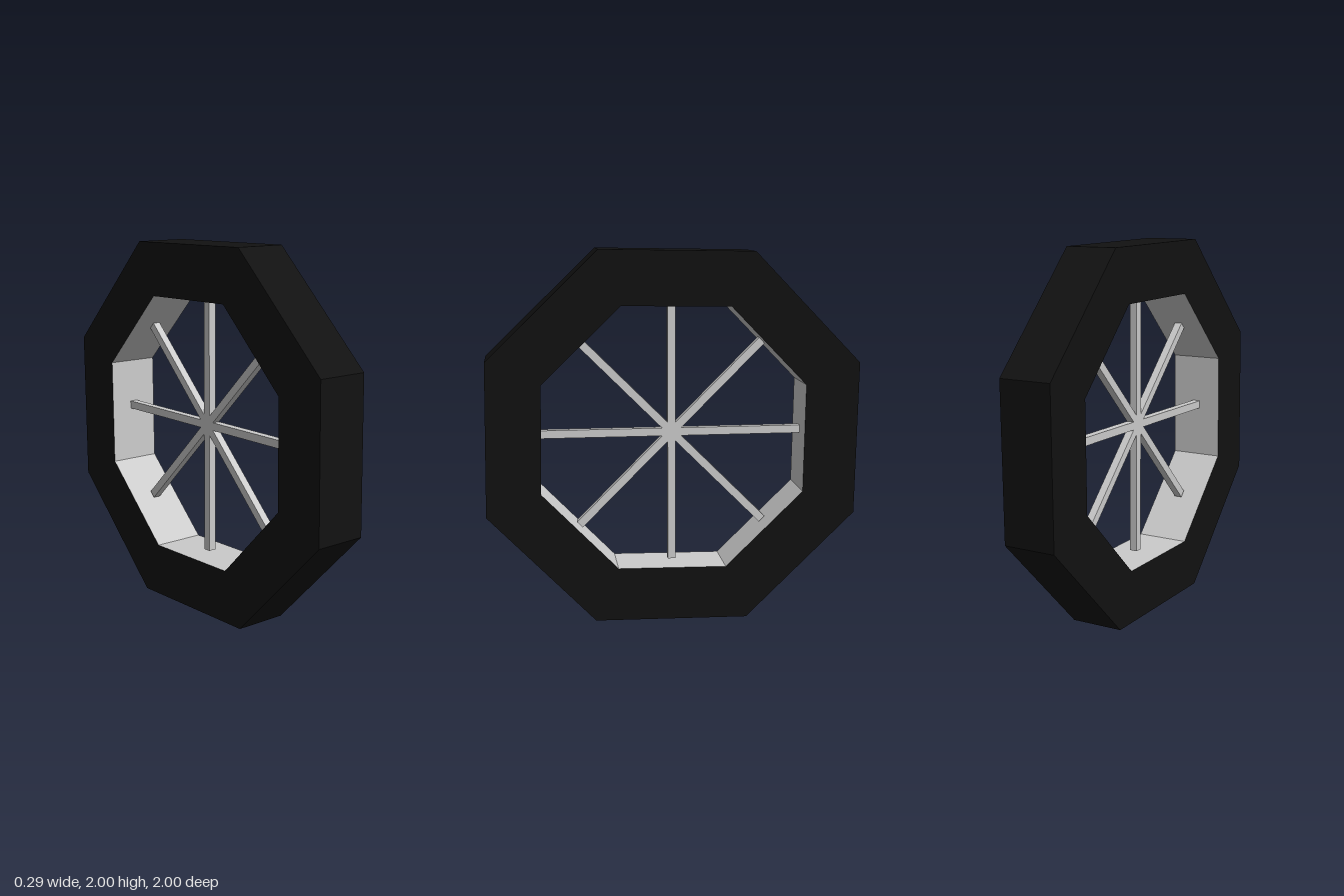
import * as THREE from 'three';

const SIDES = 8;
const OUTER = 1.0755, INNER = 0.763, HALF_WIDTH = 0.145;
const TILT = THREE.MathUtils.degToRad(-23.4);

// Eight-sided ring turned around the x axis from [radius, offset] points
function ring(name, profile, material) {
  const points = profile.map(([r, h]) => new THREE.Vector2(r, h));
  const geometry = new THREE.LatheGeometry(points, SIDES, TILT, Math.PI * 2);
  geometry.rotateZ(-Math.PI / 2);
  const mesh = new THREE.Mesh(geometry, material);
  mesh.name = name;
  mesh.position.y = 1;
  return mesh;
}

export function createModel() {
  const black = new THREE.MeshStandardMaterial({ color: 0x111111, flatShading: true });
  const grey = new THREE.MeshStandardMaterial({ color: 0xcccccc, flatShading: true });
  const wheel = new THREE.Group();
  wheel.name = 'wheel';

  // Tyre: both side walls and the tread
  wheel.add(ring('tyre', [
    [INNER, -HALF_WIDTH], [OUTER, -HALF_WIDTH], [OUTER, HALF_WIDTH], [INNER, HALF_WIDTH],
  ], black));

  // Rim: the inward-facing band
  wheel.add(ring('rim', [[INNER, HALF_WIDTH], [INNER, -HALF_WIDTH]], grey));

  // Spokes: four square bars crossing slightly above the wheel centre
  const spokes = new THREE.Group();
  spokes.name = 'spokes';
  spokes.position.y = 1.02;
  const bar = new THREE.BoxGeometry(0.043, 1.42, 0.043);
  for (let i = 0; i < 4; i++) {
    const spoke = new THREE.Mesh(bar, grey);
    spoke.name = `spoke${i + 1}`;
    spoke.rotation.x = i * Math.PI / 4;
    spokes.add(spoke);
  }
  wheel.add(spokes);

  return wheel;
}
